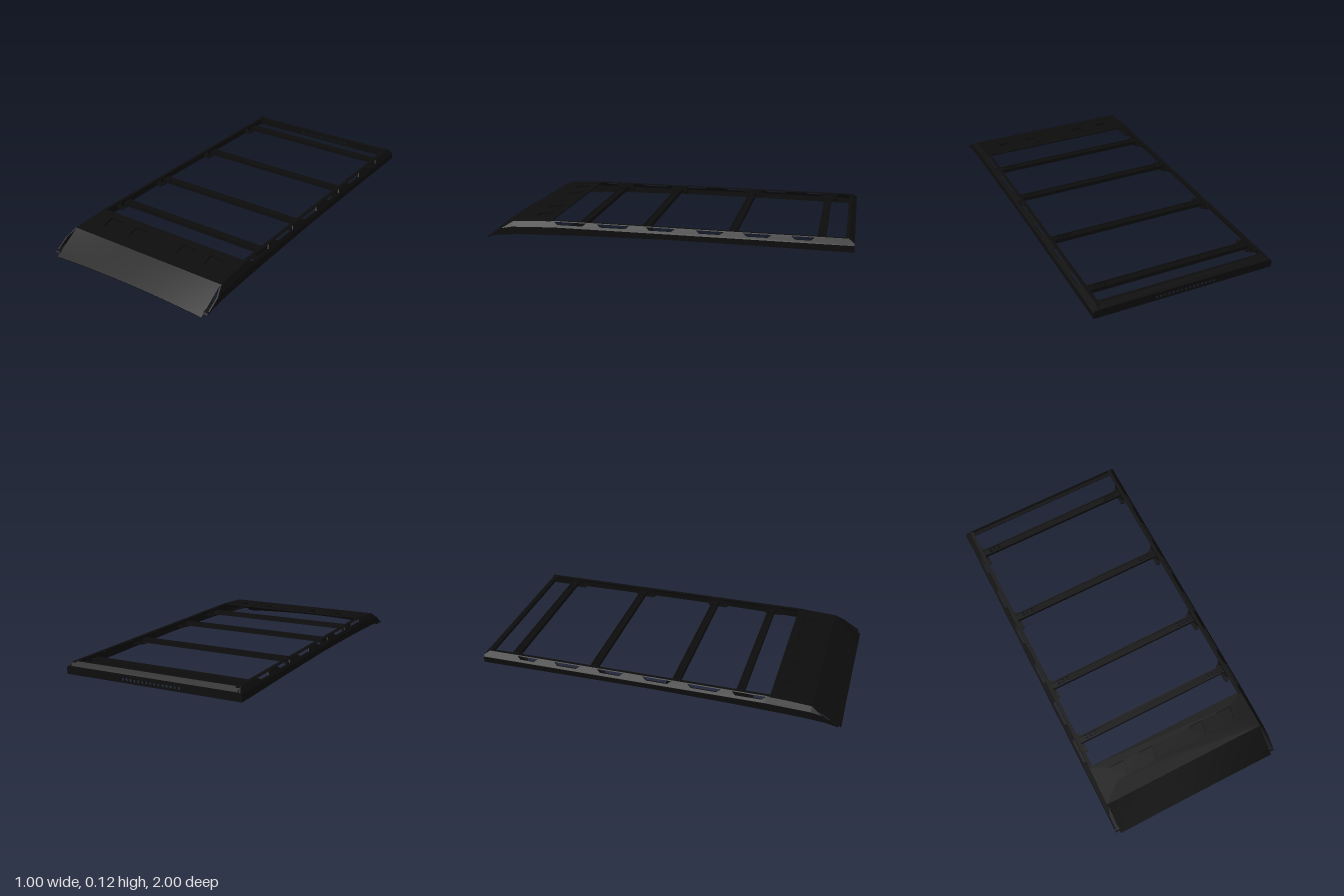
import * as THREE from 'three';

const black = new THREE.MeshStandardMaterial({ color: 0x0d0d0d, side: THREE.DoubleSide });
const path = (pts, Type = THREE.Shape) => new Type(pts.map(p => new THREE.Vector2(...p)));
const rect = (x0, x1, y0, y1) => [[x0, y0], [x1, y0], [x1, y1], [x0, y1]];

function extrude(pts, depth, holes = []) {
  const shape = path(pts);
  shape.holes = holes.map(h => path(h, THREE.Path));
  return new THREE.ExtrudeGeometry(shape, { depth, bevelEnabled: false });
}
// outline in (z, y), thickness inward from x = outer
const sidePlate = (pts, outer, t, holes) => extrude(pts, t, holes).rotateY(-Math.PI / 2).translate(outer, 0, 0);
// outline in (x, z), thickness downward from y = top
const flatPlate = (pts, top, t, holes) => extrude(pts, t, holes).rotateX(Math.PI / 2).translate(0, top, 0);
const box = (x0, x1, y0, y1, z0, z1) => new THREE.BoxGeometry(x1 - x0, y1 - y0, z1 - z0)
  .translate((x0 + x1) / 2, (y0 + y1) / 2, (z0 + z1) / 2);

function move(geo, rule) {
  const p = geo.attributes.position, v = new THREE.Vector3();
  for (let i = 0; i < p.count; i++) {
    rule(v.fromBufferAttribute(p, i));
    p.setXYZ(i, v.x, v.y, v.z);
  }
  geo.computeVertexNormals();
  return geo;
}

function add(parent, name, geo) {
  const mesh = new THREE.Mesh(geo, black);
  mesh.name = name;
  parent.add(mesh);
  return mesh;
}

const barZ = [-0.83, -0.365, 0.105, 0.457];

// height of the fold between the upright and the sloped part of a side rail
function foldY(z) {
  if (z < 0.6) return 0.09;
  if (z < 0.84) return 0.09 - (z - 0.6) / 24;
  return 0.08 - (z - 0.84) * 0.2;
}

function makeSide() {
  const side = new THREE.Group();
  add(side, 'sideRailWall', sidePlate([
    [-1, 0.055], [-0.5, 0.059], [0, 0.06], [0.45, 0.052], [0.8, 0.04], [0.92, 0.03],
    [0.985, 0.015], [0.9, 0.068], [0.84, 0.08], [0.6, 0.09], [-1, 0.09]], 0.5, 0.007));

  // sloped upper part with long slots
  const slots = [[0.42, 0.6], [0.18, 0.36], [-0.07, 0.09], [-0.33, -0.18], [-0.58, -0.43], [-0.8, -0.68]]
    .map(([a, b]) => [[a + 0.02, 0.102], [b - 0.02, 0.102], [b, 0.116], [a, 0.116]]);
  const slope = sidePlate([
    [-1, 0.09], [0.6, 0.09], [0.84, 0.08], [0.9, 0.068], [0.84, 0.105],
    [0.6, 0.12], [-0.97, 0.12], [-1, 0.1]], 0.5, 0.007, slots);
  add(side, 'sideRailSlope', move(slope, v => { v.x -= Math.max(0, v.y - foldY(v.z)) * 0.83; }));
  add(side, 'sideRailTopFlange', box(0.457, 0.475, 0.116, 0.12, -0.985, 0.63));
  add(side, 'sideRailFrontLip', sidePlate([
    [0.62, 0.047], [0.8, 0.04], [0.92, 0.03], [0.985, 0.015],
    [0.98, 0.023], [0.92, 0.036], [0.8, 0.046], [0.62, 0.053]], 0.5, 0.028));

  // crossbar brackets
  for (const z of barZ) {
    const bracket = new THREE.Group();
    bracket.name = 'crossbarBracket';
    bracket.position.z = z;
    add(bracket, 'bracketFoot', flatPlate([
      [0.495, -0.055], [0.46, -0.052], [0.437, -0.035], [0.437, 0.068],
      [0.455, 0.075], [0.47, 0.055], [0.495, 0.05]], 0.083, 0.006));
    add(bracket, 'bracketUpright', box(0.456, 0.462, 0.08, 0.118, -0.05, 0.05));
    for (const s of [-1, 1]) {
      const bolt = new THREE.CylinderGeometry(0.006, 0.006, 0.006, 6);
      add(bracket, 'bracketBolt', bolt.translate(0.447, 0.086, s * 0.03));
    }
    side.add(bracket);
  }
  return side;
}

function makeCrossbar(z) {
  const bar = new THREE.Group();
  bar.name = 'crossbar';
  bar.position.z = z;
  const holes = [];
  for (const x of [0.358, 0.384, 0.41])
    for (const s of [-1, 1])
      for (const r of [-0.007, 0.007])
        holes.push(rect(s * x - 0.008, s * x + 0.008, r - 0.004, r + 0.004));
  add(bar, 'crossbarBody', flatPlate(rect(-0.457, 0.457, -0.02, 0.02), 0.101, 0.012, holes));
  for (const s of [-1, 1])
    add(bar, 'crossbarEdge', box(-0.457, 0.457, 0.083, 0.105, s * 0.0175 - 0.0035, s * 0.0175 + 0.0035));
  return bar;
}

function makeFairing() {
  const fairing = new THREE.Group();
  fairing.name = 'frontFairing';
  const tilt = v => { v.y -= (v.z - 0.6) * 0.0625; };
  const pocket = (x, g) => [[x - 0.044 - g, 0.67 - g], [x + 0.044 + g, 0.67 - g],
    [x + 0.03 + g, 0.748 + g], [x - 0.03 - g, 0.748 + g]];
  const xs = [-0.335, -0.157, 0.157, 0.335];

  // upper deck with four recessed pockets
  add(fairing, 'fairingDeck', move(flatPlate(rect(-0.477, 0.477, 0.62, 0.842), 0.12, 0.006,
    xs.map(x => pocket(x, 0))), tilt));
  for (const x of xs) {
    add(fairing, 'pocketFloor', move(flatPlate(pocket(x, 0.004), 0.109, 0.003), tilt));
    add(fairing, 'pocketWall', move(flatPlate(pocket(x, 0.004), 0.114, 0.006, [pocket(x, 0)]), tilt));
  }

  // sloping nose with an arched lower edge
  const nose = new THREE.BoxGeometry(0.95, 0.005, 1, 32, 1, 6);
  add(fairing, 'fairingNose', move(nose, v => {
    const t = v.z + 0.5, k = v.x / 0.475;
    const lower = 0.003 + 0.017 * (1 - k * k);
    const thick = v.y - 0.0025;
    v.z = 0.84 + 0.16 * t + thick * 0.5;
    v.y = Math.max(0.105 + (lower - 0.105) * t + thick, 0);
  }));
  return fairing;
}

function makeRear() {
  const rear = new THREE.Group();
  rear.name = 'rearPanel';
  // upright panel with a row of small vents
  const vents = [];
  for (let i = -7; i <= 7; i++) vents.push(rect(i * 0.023 - 0.007, i * 0.023 + 0.007, 0.066, 0.08));
  add(rear, 'rearWall', extrude(rect(-0.495, 0.495, 0.055, 0.097), 0.006, vents).translate(0, 0, -1));
  add(rear, 'rearTopFold', sidePlate([
    [-1, 0.092], [-1, 0.1], [-0.973, 0.12], [-0.955, 0.12],
    [-0.955, 0.115], [-0.971, 0.115], [-0.994, 0.097], [-0.994, 0.092]], 0.475, 0.95));
  return rear;
}

export function createModel() {
  const model = new THREE.Group();
  model.name = 'roofRack';
  const left = makeSide(), right = makeSide();
  left.name = 'leftSide';
  right.name = 'rightSide';
  right.scale.x = -1;
  model.add(left, right, makeFairing(), makeRear());
  for (const z of barZ) model.add(makeCrossbar(z));
  return model;
}
